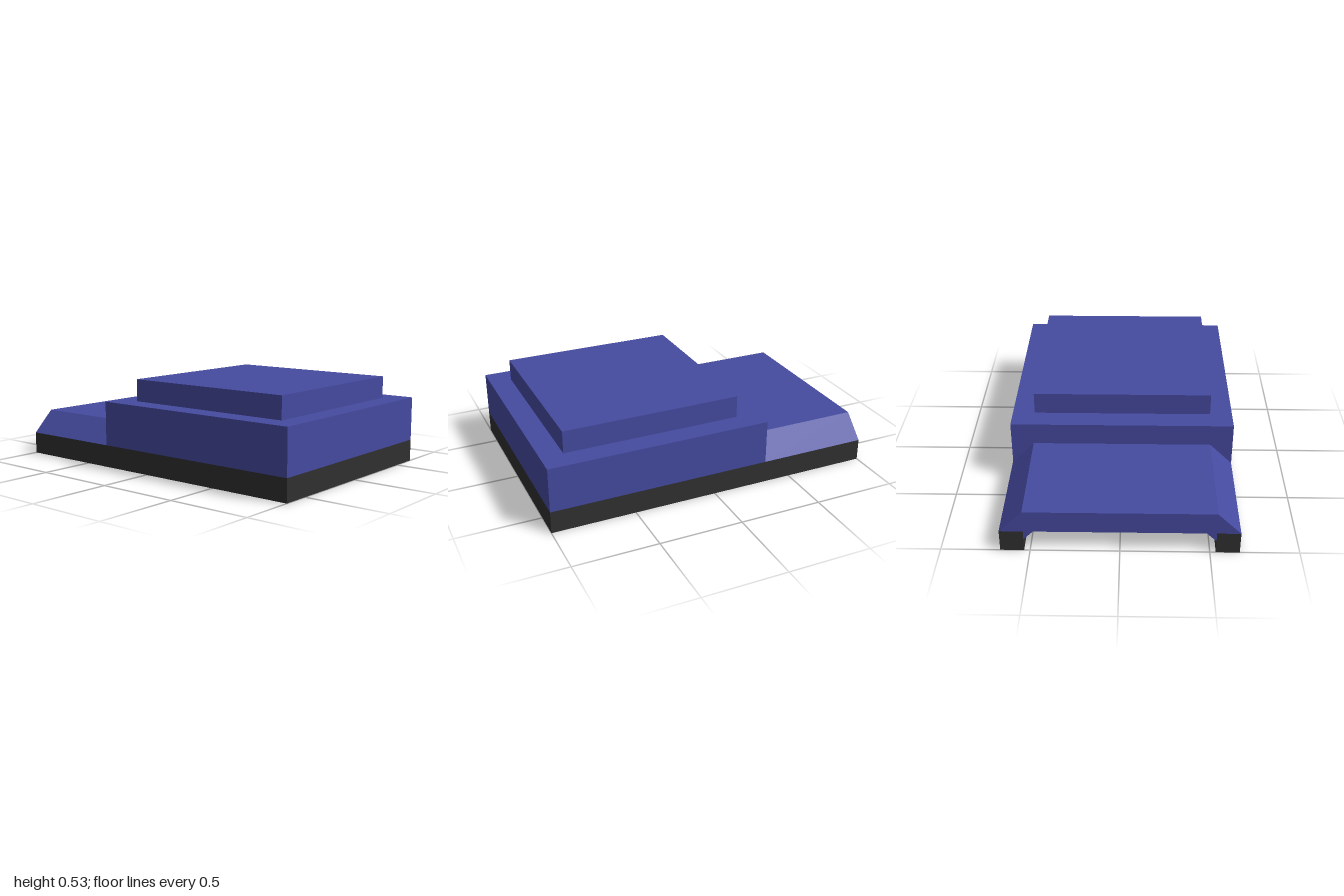
import * as THREE from 'three';

const U = 2 / 15; // one module; all sizes below are in modules

export function createModel() {
  const model = new THREE.Group();
  const blue = new THREE.MeshStandardMaterial({ color: 0x454aa0 });
  blue.name = 'blue';
  const black = new THREE.MeshStandardMaterial({ color: 0x303030 });
  black.name = 'black';

  const add = (name, geometry, material) => {
    const mesh = new THREE.Mesh(geometry.scale(U, U, U), material);
    mesh.name = name;
    model.add(mesh);
  };
  // Box given by its lower and upper limits on each axis
  const box = (name, material, [x0, x1], [y0, y1], [z0, z1]) =>
    add(name, new THREE.BoxGeometry(x1 - x0, y1 - y0, z1 - z0)
      .translate((x0 + x1) / 2, (y0 + y1) / 2, (z0 + z1) / 2), material);
  const outline = (points) => points.map(([x, y]) => new THREE.Vector2(x, y));

  // U-shaped base, open at the back
  const base = new THREE.Shape(outline([
    [-5, 7.5], [-4, 7.5], [-4, -6.5], [4, -6.5], [4, 7.5], [5, 7.5], [5, -7.5], [-5, -7.5],
  ]));
  add('baseFrame', new THREE.ExtrudeGeometry(base, { depth: 1, bevelEnabled: false })
    .rotateX(-Math.PI / 2), black);

  // Hollow body walls
  const walls = new THREE.Shape(outline([[-5, -7.5], [5, -7.5], [5, 2.5], [-5, 2.5]]));
  walls.holes.push(new THREE.Path(outline([[-4, -6.5], [-4, 1.5], [4, 1.5], [4, -6.5]])));
  add('bodyWalls', new THREE.ExtrudeGeometry(walls, { depth: 2, bevelEnabled: false })
    .rotateX(-Math.PI / 2).translate(0, 1, 0), blue);

  // Raised slab closing the body
  box('topSlab', blue, [-4, 4], [3, 4], [-1.5, 6.5]);

  // Thin lining on the inside of the base, and the dark strip under the rear wall
  const t = 0.02;
  box('leftLining', blue, [4 - t, 4], [0, 1], [-1.5, 6.5]);
  box('rightLining', blue, [-4, -4 + t], [0, 1], [-1.5, 6.5]);
  box('frontLining', blue, [-4, 4], [0, 1], [6.5 - t, 6.5]);
  box('crossStrip', black, [-4, 4], [1 - t, 1], [-2.5, -1.5]);

  // Low rear deck with sloping sides and small ridges along the inside of the rails
  const deck = new THREE.Shape(outline([
    [-5, 1], [-4, 1], [-4, 0.586], [-3.586, 1], [3.586, 1],
    [4, 0.586], [4, 1], [5, 1], [4, 2], [-4, 2],
  ]));
  add('rearDeck', new THREE.ExtrudeGeometry(deck, { depth: 5, bevelEnabled: false })
    .translate(0, 0, -7.5), blue);

  return model;
}
